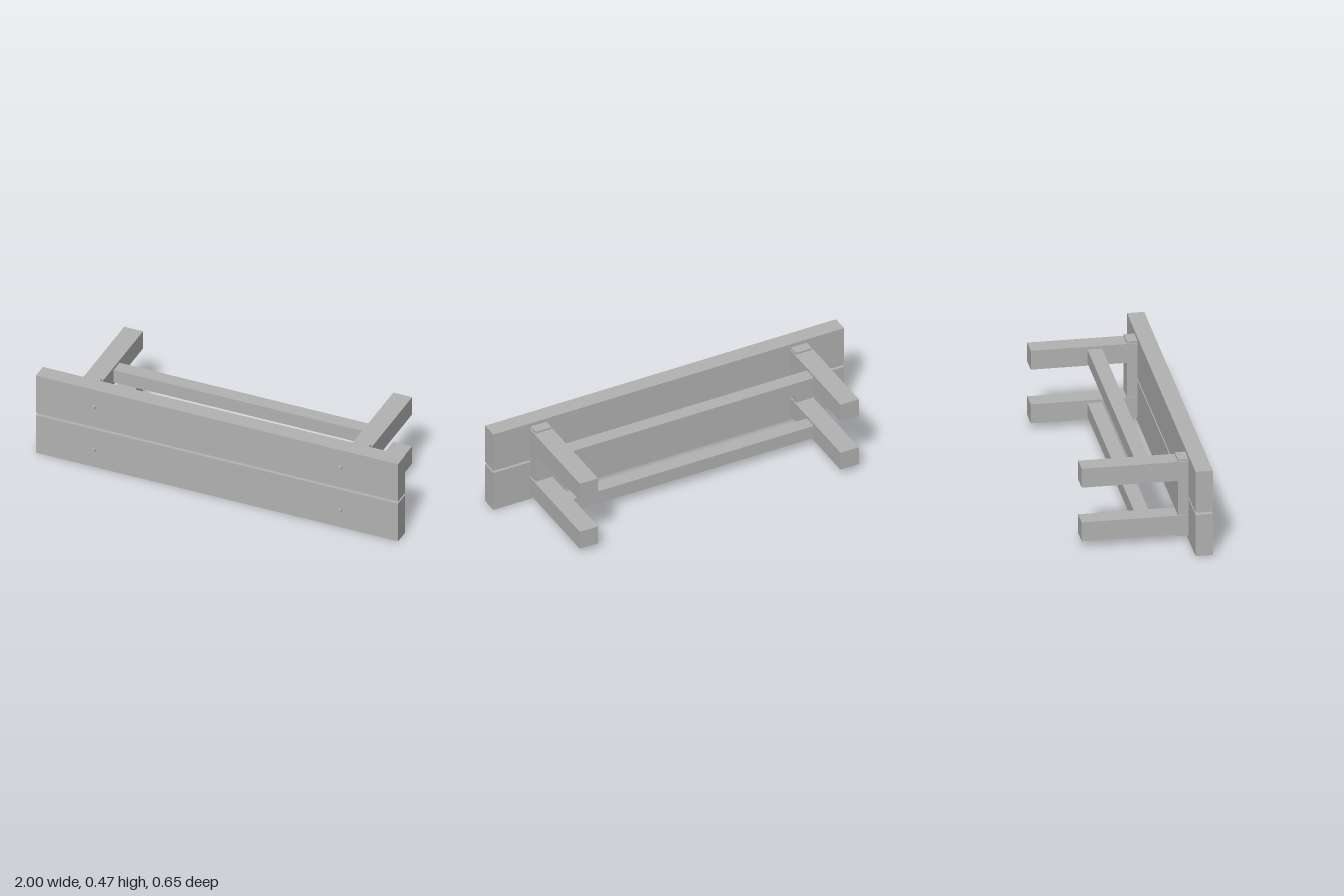
import * as THREE from 'three';

const grey = new THREE.MeshStandardMaterial({ color: 0xb3b3b3 });
grey.name = 'plain grey';

// Box given by its extents along each axis
function block(name, [x0, x1], [y0, y1], [z0, z1]) {
  const mesh = new THREE.Mesh(new THREE.BoxGeometry(x1 - x0, y1 - y0, z1 - z0), grey);
  mesh.position.set((x0 + x1) / 2, (y0 + y1) / 2, (z0 + z1) / 2);
  mesh.name = name;
  return mesh;
}

export function createModel() {
  const bench = new THREE.Group();
  bench.name = 'bench';

  // Two seat planks with a narrow gap
  bench.add(block('lowerPlank', [-1, 1], [0, 0.227], [0.222, 0.31]));
  bench.add(block('upperPlank', [-1, 1], [0.24, 0.465], [0.222, 0.31]));

  const rows = [
    { name: 'lower', leg: [0.034, 0.138], rail: [0.049, 0.123], bolt: 0.105 },
    { name: 'upper', leg: [0.33, 0.434], rail: [0.345, 0.419], bolt: 0.361 },
  ];
  const sides = [{ name: 'Left', s: 1 }, { name: 'Right', s: -1 }];
  const mirrored = (a, b, s) => (s > 0 ? [a, b] : [-b, -a]);

  // Cross battens joining the planks
  for (const { name, s } of sides) {
    bench.add(block('batten' + name, mirrored(0.697, 0.788, s), [0.022, 0.445], [0.168, 0.238]));
  }

  for (const row of rows) {
    // Long rail between the legs
    bench.add(block(row.name + 'Rail', [-0.692, 0.692], row.rail, [-0.035, 0.04]));

    for (const { name, s } of sides) {
      bench.add(block(row.name + 'Leg' + name, mirrored(0.691, 0.795, s), row.leg, [-0.325, 0.222]));

      // Bolt head on the seat face
      const geometry = new THREE.CylinderGeometry(0.012, 0.012, 0.026, 10).toNonIndexed();
      geometry.computeVertexNormals();
      const bolt = new THREE.Mesh(geometry, grey);
      bolt.rotation.x = Math.PI / 2;
      bolt.position.set(0.68 * s, row.bolt, 0.313);
      bolt.name = row.name + 'Bolt' + name;
      bench.add(bolt);
    }
  }
  return bench;
}
